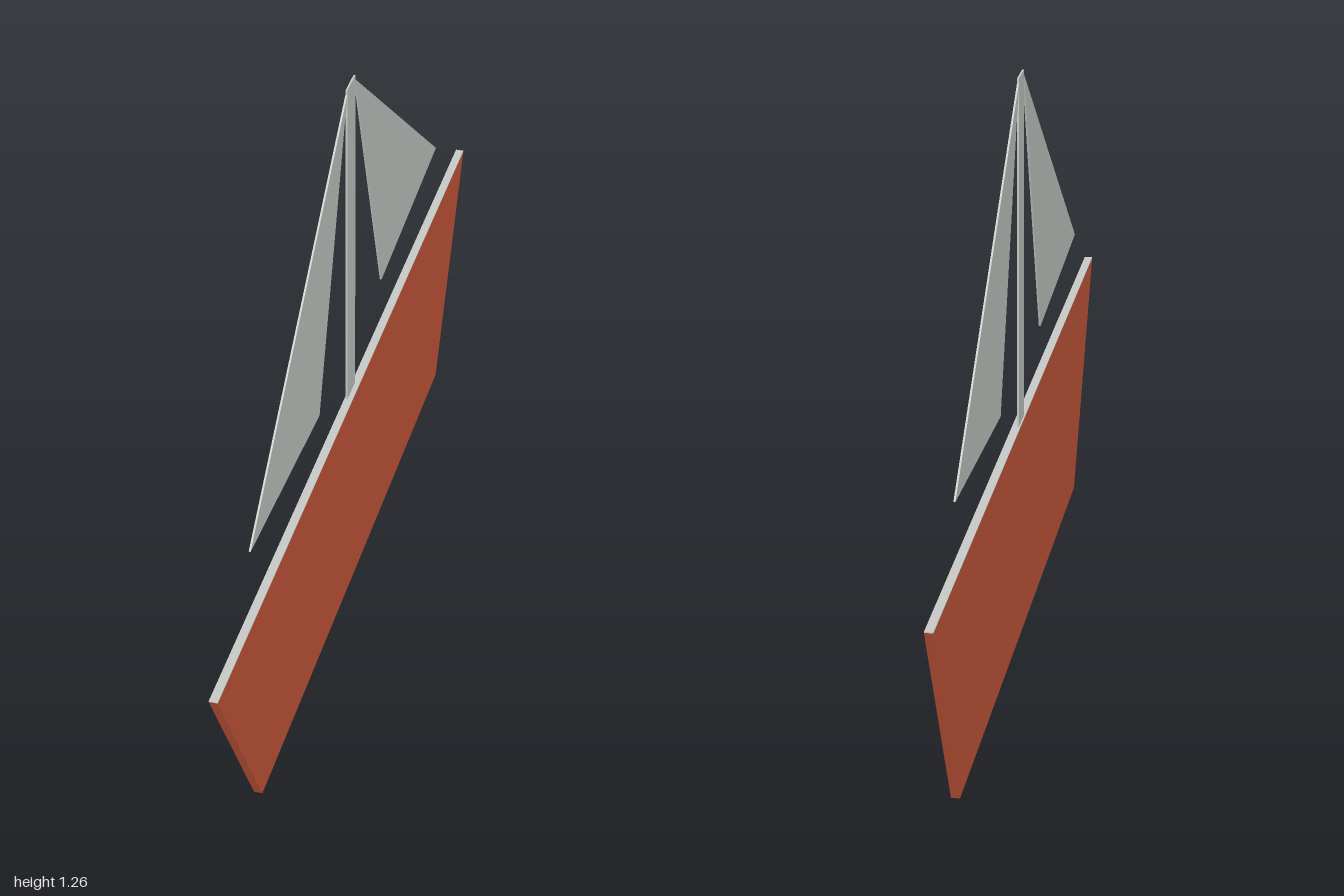
import * as THREE from 'three';

// Flat panel outlined in (z, y), with its thickness centred on the given x.
function panel(name, points, thickness, x, material) {
  const shape = new THREE.Shape(points.map(([z, y]) => new THREE.Vector2(z, y)));
  const geometry = new THREE.ExtrudeGeometry(shape, { depth: thickness, bevelEnabled: false });
  geometry.translate(0, 0, -thickness / 2);
  geometry.rotateY(-Math.PI / 2); // outline runs along z
  geometry.translate(x, 0, 0);
  const mesh = new THREE.Mesh(geometry, material);
  mesh.name = name;
  return mesh;
}

export function createModel() {
  const boat = new THREE.Group();
  boat.name = 'sailboat';

  const hullRed = new THREE.MeshStandardMaterial({ color: 0xc8583a });
  hullRed.name = 'hull red';
  const sailGrey = new THREE.MeshStandardMaterial({ color: 0xc5c9c5 });
  sailGrey.name = 'sail grey';

  const hullWidth = 0.018;
  const sailWidth = 0.004;
  const sailX = -0.004;

  // Trapezoid hull, wider at the top
  boat.add(panel('hull', [[-0.755, 0], [0.73, 0], [1, 0.489], [-1, 0.489]], hullWidth, 0, hullRed));

  // Pale deck strip along the top edge
  const deck = new THREE.Mesh(new THREE.BoxGeometry(hullWidth, 0.002, 2), sailGrey);
  deck.name = 'deck';
  deck.position.y = 0.49;
  boat.add(deck);

  // Flat mast and the two sails hanging from its top
  boat.add(panel('mast', [[-0.043, 0.49], [0.02, 0.49], [0.02, 1.26], [-0.043, 1.26]], sailWidth, sailX, sailGrey));
  boat.add(panel('frontSail', [[0.02, 1.25], [0.24, 0.61], [0.735, 0.645]], sailWidth, sailX, sailGrey));
  boat.add(panel('backSail', [[-0.043, 1.25], [-0.76, 0.645], [-0.265, 0.61]], sailWidth, sailX, sailGrey));

  return boat;
}
